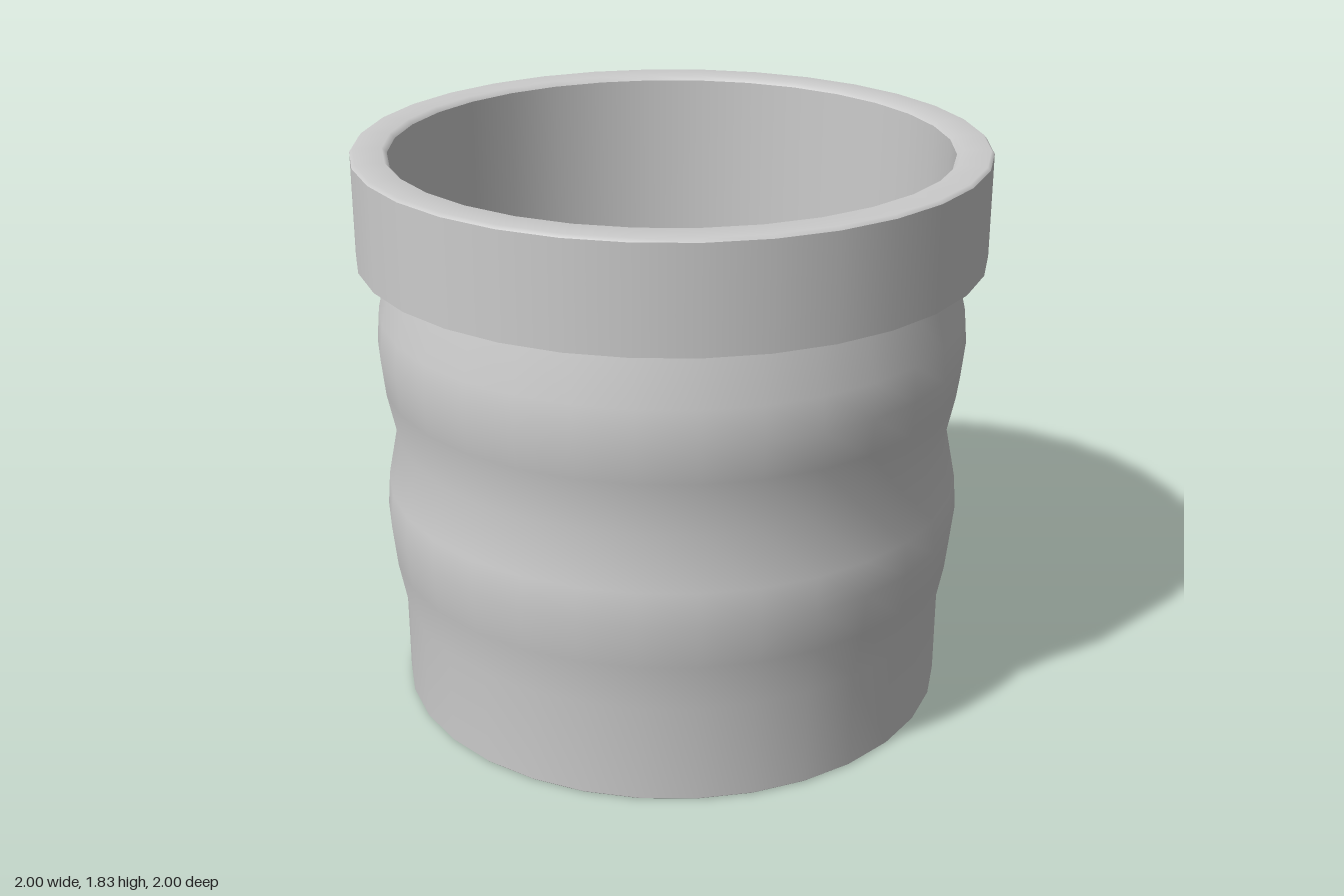
import * as THREE from 'three';

const SIDES = 32;

export function createModel() {
  const model = new THREE.Group();
  model.name = 'pot';
  const material = new THREE.MeshStandardMaterial({ color: 0xcccccc });

  // Each profile [radius, y] is one smooth surface; separate profiles meet at sharp edges.
  function addLathe(parent, name, profile) {
    const points = profile.map(([r, y]) => new THREE.Vector2(r, y));
    const mesh = new THREE.Mesh(new THREE.LatheGeometry(points, SIDES), material);
    mesh.name = name;
    parent.add(mesh);
  }

  // Body with two soft bulges above a straight foot
  const body = new THREE.Group();
  body.name = 'body';
  addLathe(body, 'base', [[0, 0], [0.895, 0]]);
  addLathe(body, 'outerWall', [
    [0.895, 0], [0.9, 0.005], [0.9, 0.32],
    [0.93, 0.48], [0.944, 0.62], [0.935, 0.73], [0.9, 0.905],
    [0.936, 1.08], [0.948, 1.2], [0.938, 1.31], [0.895, 1.49],
  ]);

  // Collar around the mouth
  const rim = new THREE.Group();
  rim.name = 'rim';
  addLathe(rim, 'rimUnderside', [[0.89, 1.49], [1, 1.49]]);
  addLathe(rim, 'rimSide', [[1, 1.49], [1, 1.82]]);
  addLathe(rim, 'rimTop', [[1, 1.82], [0.99, 1.83], [0.9, 1.83], [0.885, 1.815]]);

  // Hollow inside
  const interior = new THREE.Group();
  interior.name = 'interior';
  addLathe(interior, 'innerWall', [[0.885, 1.815], [0.875, 0.06]]);
  addLathe(interior, 'floor', [[0.875, 0.06], [0, 0.06]]);

  model.add(body, rim, interior);
  return model;
}
